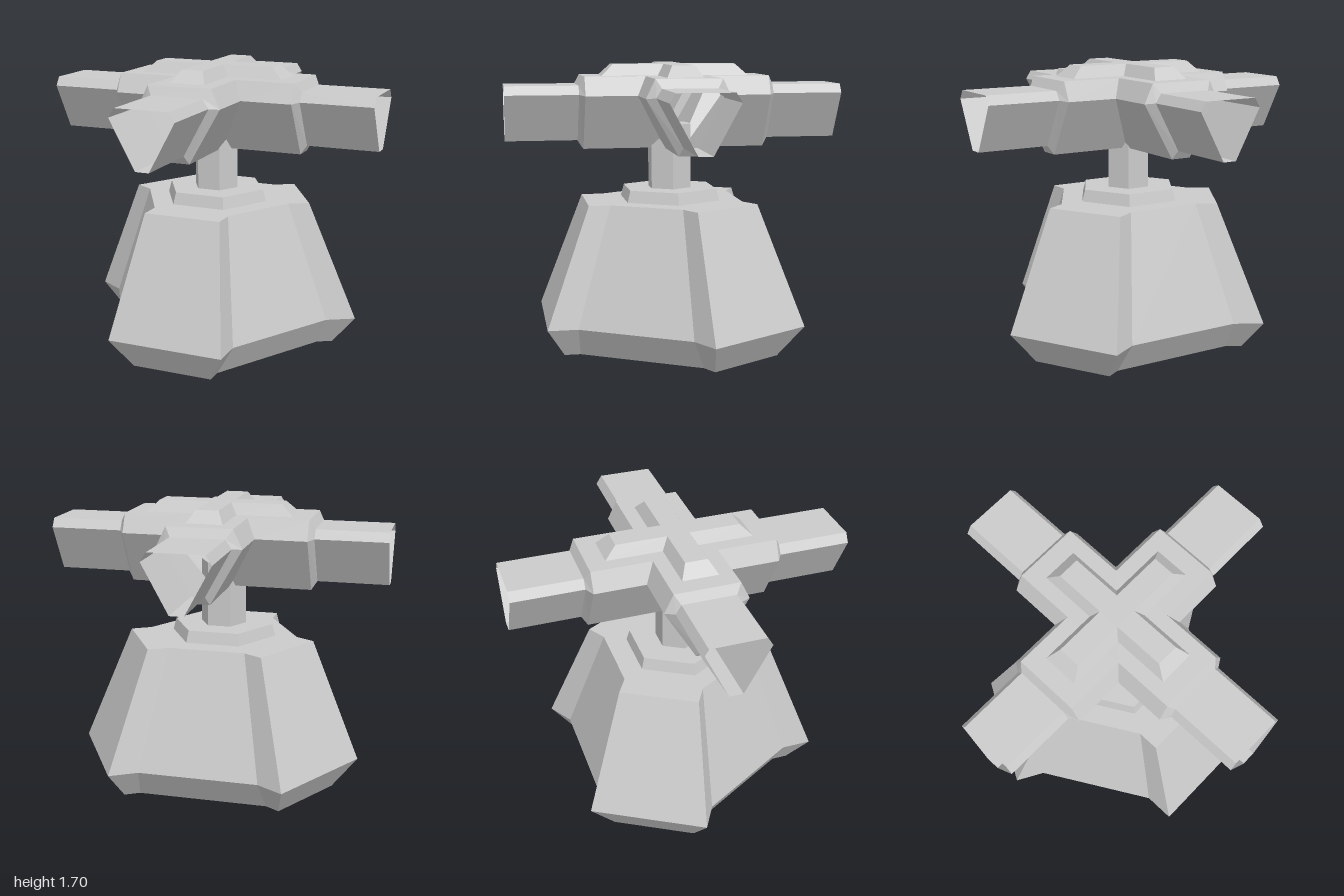
import * as THREE from 'three';

const material = new THREE.MeshStandardMaterial({ color: 0xcccccc, flatShading: true, side: THREE.DoubleSide });

// Skins a stack of equal-length rings of [x, y, z]; skip(i) leaves a side strip open.
function loft(name, rings, { caps = true, skip = () => false } = {}) {
  const pos = [];
  const n = rings[0].length;
  const tri = (a, b, c) => pos.push(...a, ...b, ...c);
  for (let r = 0; r < rings.length - 1; r++) {
    for (let i = 0; i < n; i++) {
      if (skip(i)) continue;
      const j = (i + 1) % n, lo = rings[r], hi = rings[r + 1];
      tri(lo[i], lo[j], hi[j]);
      tri(lo[i], hi[j], hi[i]);
    }
  }
  if (caps) {
    const bottom = rings[0], top = rings[rings.length - 1];
    const faces = (ring) => THREE.ShapeUtils.triangulateShape(ring.map(([x, , z]) => new THREE.Vector2(x, -z)), []);
    for (const [a, b, c] of faces(top)) tri(top[a], top[b], top[c]);
    for (const [a, b, c] of faces(bottom)) tri(bottom[a], bottom[c], bottom[b]);
  }
  const geometry = new THREE.BufferGeometry();
  geometry.setAttribute('position', new THREE.Float32BufferAttribute(pos, 3));
  geometry.computeVertexNormals();
  const mesh = new THREE.Mesh(geometry, material);
  mesh.name = name;
  return mesh;
}

// Repeats [x, z] points around the vertical axis to make one ring.
function radialRing(y, count, points, zShift = 0) {
  const ring = [];
  for (let k = 0; k < count; k++) {
    const a = (k * 2 * Math.PI) / count, s = Math.sin(a), c = Math.cos(a);
    for (const [x, z] of points) ring.push([x * c + z * s, y, z * c - x * s + zShift]);
  }
  return ring;
}

// Plus-shaped outline: half width w, half length l
const plusRing = (y, w, l) => radialRing(y, 4, [[-w, l], [w, l], [w, w]]);

// Three broad raised panels with recessed panels between them
const baseRing = (y, w, front, recess, shift) =>
  radialRing(y, 3, [[-w, recess], [-w, front], [w, front], [w, recess]], shift);

// Six-sided arm section from [half width, y] at its three levels
const armRing = (z, [[w0, y0], [w1, y1], [w2, y2]]) =>
  [[-w0, y0, z], [w0, y0, z], [w1, y1, z], [w2, y2, z], [-w2, y2, z], [-w1, y1, z]];

function hexPrism(name, rBottom, rTop, y0, y1) {
  const geometry = new THREE.CylinderGeometry(rTop, rBottom, y1 - y0, 6);
  geometry.rotateY(Math.PI / 6); // corners towards the sides
  const mesh = new THREE.Mesh(geometry, material);
  mesh.name = name;
  mesh.position.set(-0.004, (y0 + y1) / 2, 0.015);
  return mesh;
}

export function createModel() {
  const model = new THREE.Group();
  model.name = 'crossHeadOnPedestal';

  // Pedestal
  model.add(loft('base', [
    baseRing(0, 0.245, 0.68, 0.585, 0.005),
    baseRing(0.18, 0.35, 0.79, 0.612, -0.002),
    baseRing(0.885, 0.232, 0.52, 0.393, 0.01),
  ]));
  model.add(hexPrism('flange', 0.32, 0.3, 0.885, 0.955));
  model.add(hexPrism('post', 0.137, 0.137, 0.955, 1.34));

  // Head: hollow cross hub, open at its four ends
  const offset = 0.004;
  const head = new THREE.Group();
  head.name = 'head';
  head.position.set(-offset, 0, -offset);
  model.add(head);

  const hubSection = [[0.06, 1.2], [0.243, 1.52], [0.19, 1.63]];
  const armSection = [[0.04, 1.25], [0.19, 1.525], [0.157, 1.577]];
  const hubLength = 0.545;
  head.add(loft('hub', hubSection.map(([w, y]) => plusRing(y, w, hubLength)), { skip: (i) => i % 3 === 0 }));
  head.add(loft('topCross', [plusRing(1.63, 0.105, 0.437), plusRing(1.697, 0.065, 0.367)]));

  // Four open tubular arms, each with a tapered collar
  ['frontArm', 'leftArm', 'backArm', 'rightArm'].forEach((name, k) => {
    const end = 1 + (k < 2 ? offset : -offset);
    const arm = new THREE.Group();
    arm.name = name;
    arm.rotation.y = (k * Math.PI) / 2;
    arm.add(
      loft('collar', [armRing(hubLength, hubSection), armRing(0.577, armSection)], { caps: false }),
      loft('tube', [armRing(0.577, armSection), armRing(end, armSection)], { caps: false }),
    );
    head.add(arm);
  });
  return model;
}
